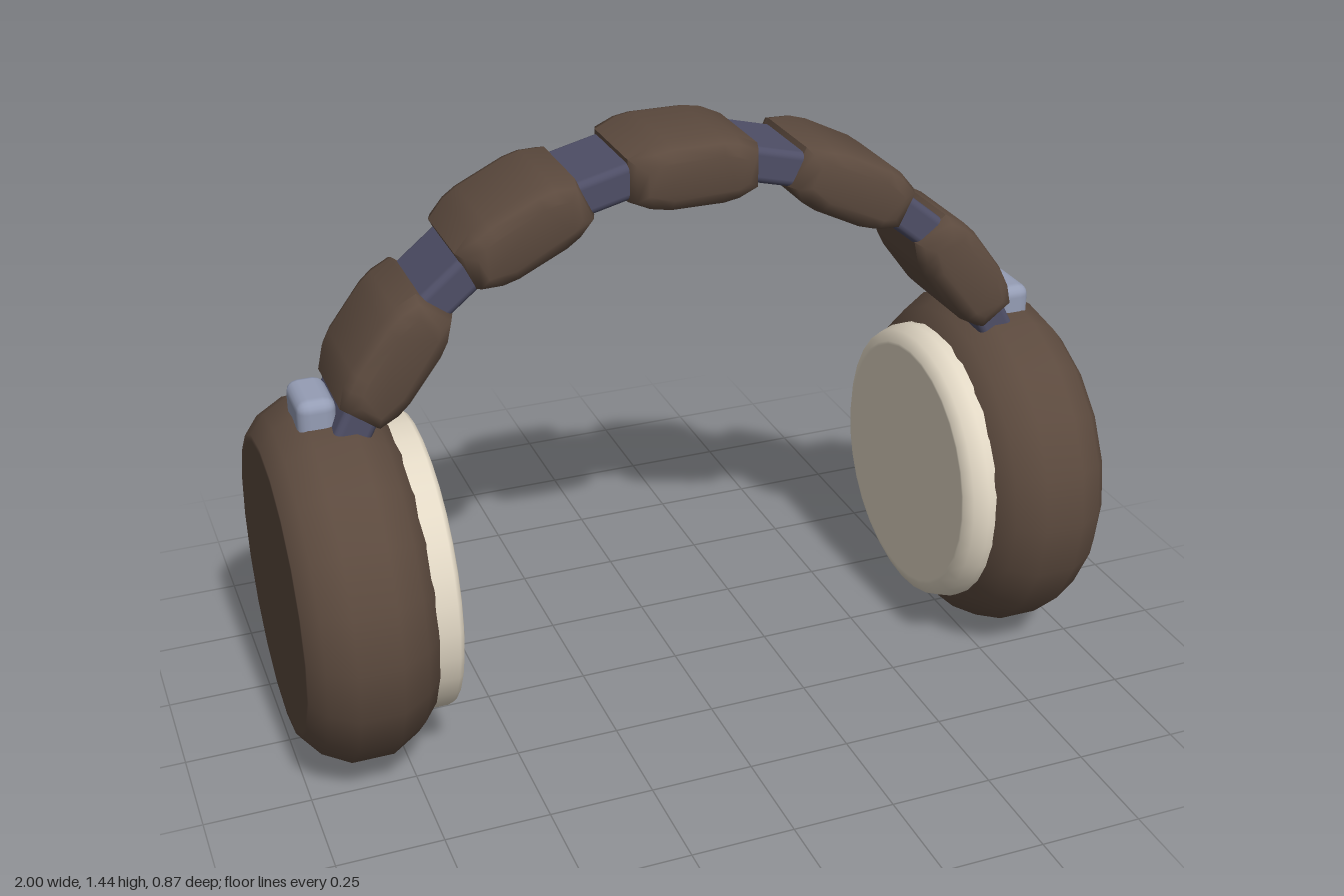
import * as THREE from 'three';
import { toCreasedNormals } from 'three/addons/utils/BufferGeometryUtils.js';
import { RoundedBoxGeometry } from 'three/addons/geometries/RoundedBoxGeometry.js';

const material = (name, color) => {
  const m = new THREE.MeshStandardMaterial({ color });
  m.name = name;
  return m;
};

// Disc turned around the x axis; profile is [radius, distance from the middle]
function turned(profile, sides, side) {
  const points = profile.map(([r, x]) => new THREE.Vector2(r, x));
  return new THREE.LatheGeometry(points, sides).rotateZ(-side * Math.PI / 2);
}

// Padded headband block: softened side outline with bevelled front and back
function cushionGeometry() {
  const inset = 0.035, bevel = 0.045, depth = 0.31;
  const corner = [[0.155, 0.048], [0.12, 0.07], [0.078, 0.08]];
  const back = [...corner].reverse();
  const outline = [
    ...corner,
    ...back.map(([x, y]) => [-x, y]),
    ...corner.map(([x, y]) => [-x, -y]),
    ...back.map(([x, y]) => [x, -y]),
  ].map(([x, y]) => new THREE.Vector2(x * (1 - inset / 0.155), y * (1 - inset / 0.08)));
  const geometry = new THREE.ExtrudeGeometry(new THREE.Shape(outline), {
    depth: depth - 2 * bevel, bevelEnabled: true,
    bevelSize: inset, bevelThickness: bevel, bevelSegments: 2,
  });
  geometry.translate(0, 0, -(depth - 2 * bevel) / 2);
  return toCreasedNormals(geometry, 1.1);
}

export function createModel() {
  const model = new THREE.Group();
  model.name = 'headphones';
  const brown = material('brown leather', 0x5c4a3e);
  const cream = material('cream padding', 0xe2d8c5);
  const slate = material('slate band', 0x4e4e66);
  const steel = material('pale steel', 0x959db5);

  const add = (name, geometry, mat, x, y, angle = 0) => {
    const mesh = new THREE.Mesh(geometry, mat);
    mesh.name = name;
    mesh.position.set(x, y, 0);
    mesh.rotation.z = THREE.MathUtils.degToRad(angle);
    model.add(mesh);
  };

  const cushion = cushionGeometry();
  const link = new RoundedBoxGeometry(0.22, 0.085, 0.235, 2, 0.018);
  const clip = new RoundedBoxGeometry(0.09, 0.15, 0.155, 2, 0.028);
  add('topCushion', cushion, brown, 0, 1.36);

  for (const side of [1, -1]) {
    const label = side > 0 ? 'left' : 'right';

    // Ear cup
    const cup = turned([
      [0, 0.7], [0.345, 0.7], [0.36, 0.7], [0.4, 0.735], [0.437, 0.8],
      [0.437, 0.9], [0.402, 0.965], [0.36, 1], [0.345, 1], [0, 1],
    ], 20, side);
    add(label + 'EarCup', cup, brown, 0, 0.437);

    // Ear pad, with a softer rim on the left one
    const rim = side > 0 ? [0.05, 0.04] : [0.015, 0.022];
    const face = side > 0 ? 0.632 : 0.637;
    const pad = turned([
      [0, face], [0.35 - rim[1], face], [0.358 - rim[1], face],
      [0.358 - rim[1] * 0.3, face + rim[0] * 0.3],
      [0.358, face + rim[0]], [0.358, 0.72],
    ], 32, side);
    add(label + 'EarPad', pad, cream, 0, 0.443);

    // Headband blocks and the band showing between them
    add(label + 'UpperCushion', cushion, brown, side * 0.395, 1.27, side * -26);
    add(label + 'LowerCushion', cushion, brown, side * 0.7, 1.013, side * -53);
    add(label + 'UpperLink', link, slate, side * 0.21, 1.342, side * -14);
    add(label + 'MiddleLink', link, slate, side * 0.56, 1.165, side * -39);
    add(label + 'LowerLink', link, slate, side * 0.8, 0.86, side * -62);

    // Hinge clip on top of the cup
    add(label + 'HingeClip', clip, steel, side * 0.875, 0.852);
  }
  return model;
}
